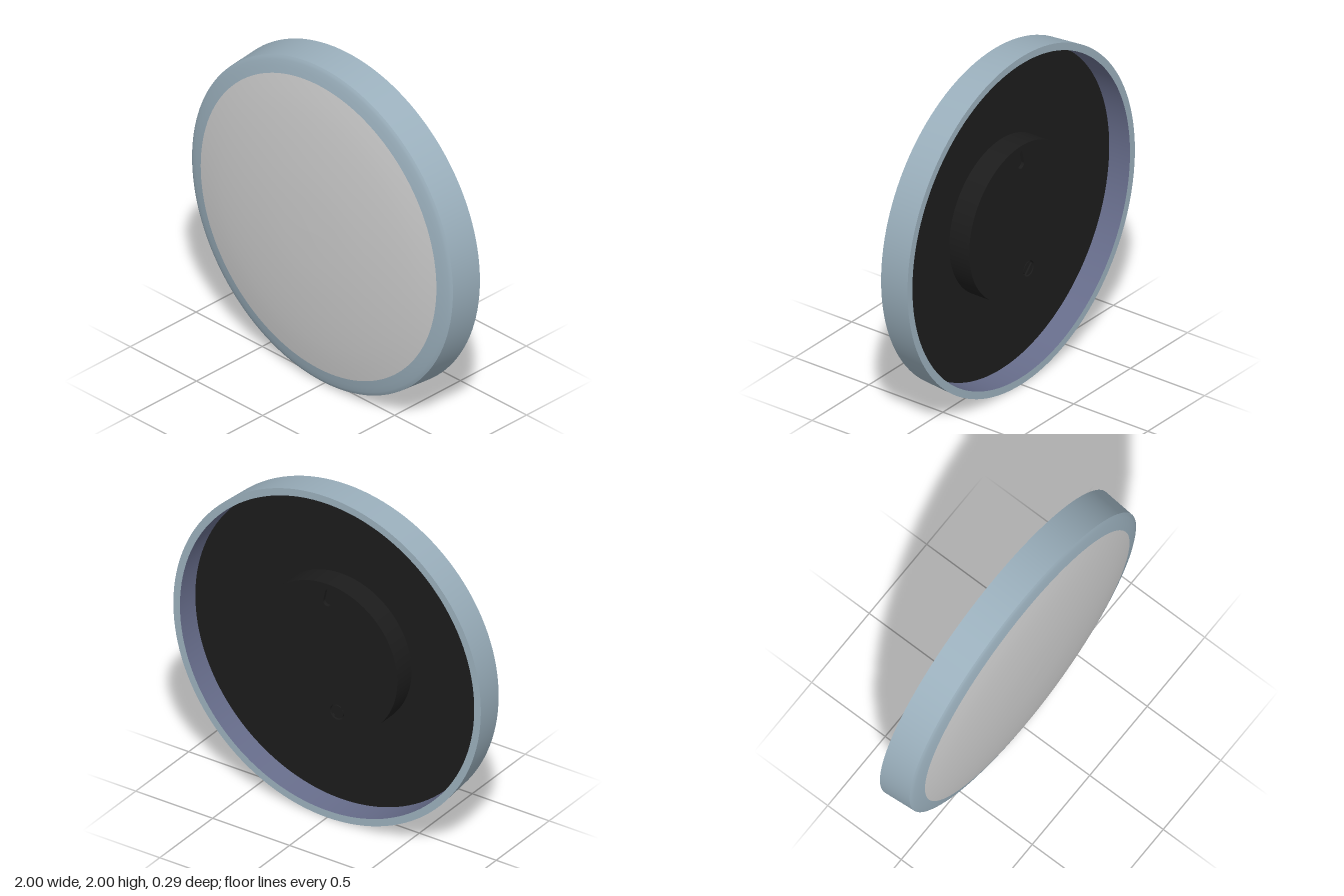
import * as THREE from 'three';

const SEGMENTS = 128;

export function createModel() {
  const material = (name, color) => {
    const m = new THREE.MeshStandardMaterial({ color });
    m.name = name;
    return m;
  };
  const casing = material('blue grey casing', 0x9bb0bd);
  const lens = material('light grey lens', 0xcccccc);
  const lining = material('slate blue lining', 0x666c8a);
  const black = material('black back', 0x1c1c1c);

  const model = new THREE.Group();
  model.name = 'roundDisc';
  const disc = new THREE.Group();
  disc.name = 'disc';
  disc.position.y = 1;
  model.add(disc);

  const add = (name, geometry, mat) => {
    const mesh = new THREE.Mesh(geometry, mat);
    mesh.name = name;
    disc.add(mesh);
    return mesh;
  };
  // Profile points are [radius, z]; the lathe axis is turned to face the front
  const turn = (name, profile, mat) => {
    const points = profile.map(([r, z]) => new THREE.Vector2(r, z));
    return add(name, new THREE.LatheGeometry(points, SEGMENTS).rotateX(Math.PI / 2), mat);
  };

  // Front: shallow dome with a coloured border
  turn('frontBorder', [[0.985, 0.045], [0.975, 0.051], [0.962, 0.057], [0.93, 0.066], [0.89, 0.075]], casing);
  turn('frontDome', [[0.89, 0.075], [0.8, 0.092], [0.7, 0.106], [0.6, 0.117], [0.5, 0.126],
    [0.4, 0.133], [0.3, 0.139], [0.2, 0.142], [0.1, 0.144], [0, 0.145]], lens);

  // Tapered side wall, its back lip and the lined inside
  turn('sideWall', [[1, -0.145], [0.985, 0.045]], casing);
  turn('backLip', [[0.957, -0.145], [1, -0.145]], casing);
  turn('innerWall', [[0.95, -0.01], [0.957, -0.145]], lining);
  turn('backPlate', [[0, -0.01], [0.95, -0.01]], black);

  // Mounting hub: solid base with a pierced cap, flush with the lip
  turn('hubBase', [[0, -0.125], [0.457, -0.125]], black);
  turn('hubWall', [[0.457, -0.125], [0.457, -0.01]], black);
  const cap = new THREE.Shape().absarc(0, 0, 0.457, 0, Math.PI * 2);
  const keyhole = new THREE.Path();
  keyhole.moveTo(-0.012, 0.41);
  keyhole.lineTo(-0.026, 0.345);
  keyhole.absarc(0, 0.345, 0.026, Math.PI, Math.PI * 2);
  keyhole.lineTo(0.012, 0.41);
  keyhole.absarc(0, 0.41, 0.012, 0, Math.PI);
  const knobHole = new THREE.Path().absarc(-0.065, -0.32, 0.046, 0, Math.PI * 2);
  cap.holes.push(keyhole, knobHole);
  const capGeometry = new THREE.ExtrudeGeometry(cap, { depth: 0.02, bevelEnabled: false, curveSegments: 64 });
  add('hubCap', capGeometry.translate(0, 0, -0.145), black);

  // Slotted adjuster: two half discs with a gap between
  for (const side of [0, 1]) {
    const half = new THREE.Shape().absarc(0, 0, 0.038, 0.2, Math.PI - 0.2);
    const geometry = new THREE.ExtrudeGeometry(half, { depth: 0.018, bevelEnabled: false, curveSegments: 16 });
    const mesh = add('adjusterHalf', geometry, black);
    mesh.position.set(-0.065, -0.32, -0.143);
    mesh.rotation.z = -Math.PI / 4 + side * Math.PI;
  }
  return model;
}
